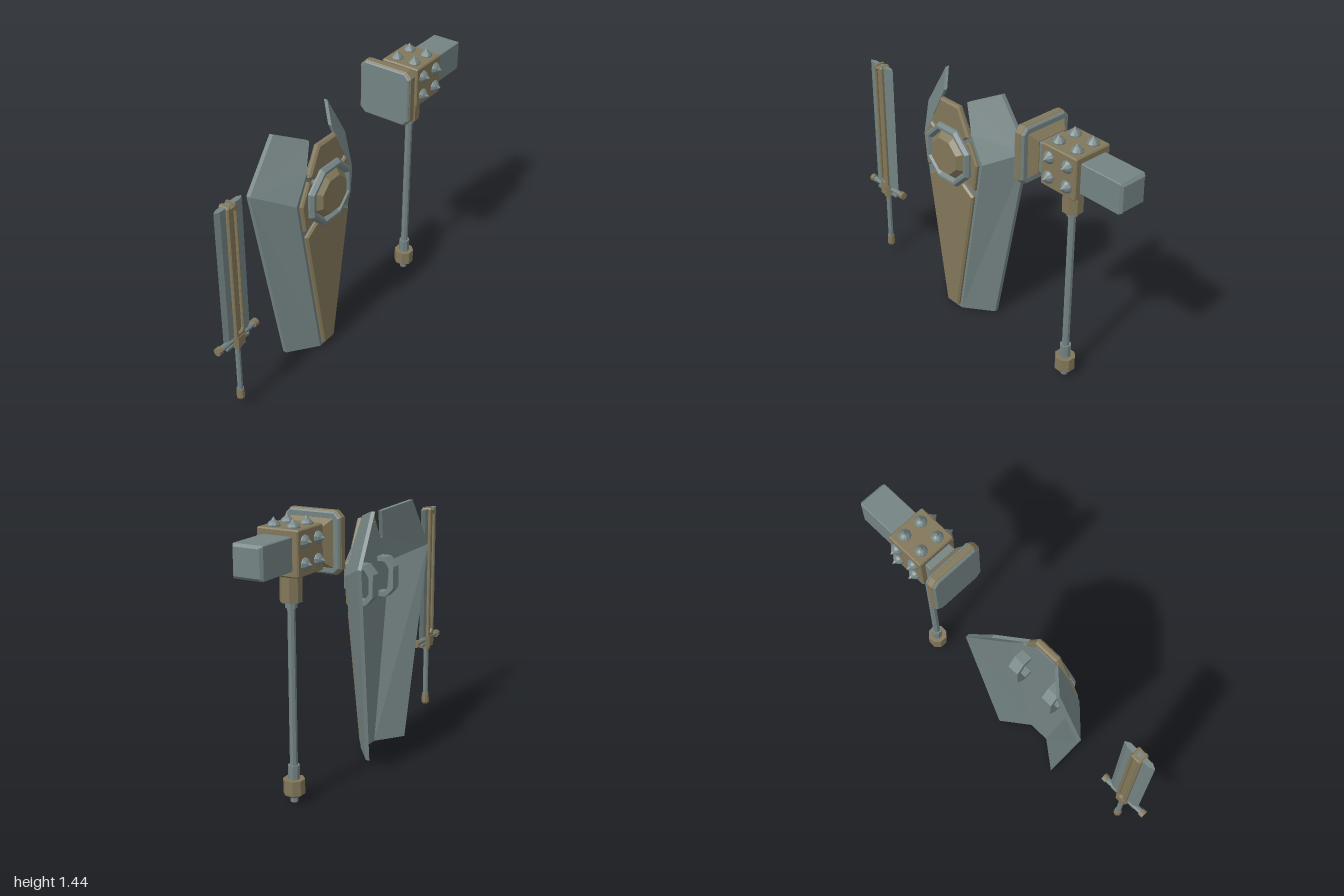
import * as THREE from 'three';

const GREY = 0x748383, BROWN = 0x82775a;
const material = (color) => new THREE.MeshStandardMaterial({ color, flatShading: true });
const steel = material(GREY), bronze = material(BROWN);

function add(group, name, geometry, mat, x = 0, y = 0, z = 0) {
  const mesh = new THREE.Mesh(geometry, mat);
  mesh.name = name;
  mesh.position.set(x, y, z);
  group.add(mesh);
  return mesh;
}

// Outline extruded along z from z0 to z1, with its edges chamfered inside the outline
function slab(points, z0, z1, bevel = 0, hole = null) {
  const shape = new THREE.Shape(points.map(([x, y]) => new THREE.Vector2(x, y)));
  if (hole) shape.holes.push(new THREE.Path(hole.map(([x, y]) => new THREE.Vector2(x, y))));
  const geo = new THREE.ExtrudeGeometry(shape, {
    depth: z1 - z0 - 2 * bevel, bevelEnabled: bevel > 0, bevelSize: bevel,
    bevelThickness: bevel, bevelOffset: -bevel, bevelSegments: 1,
  });
  return geo.translate(0, 0, z0 + bevel);
}

// Complete a right-hand outline (listed bottom to top) with its mirror image
const mirrored = (pts) => [...pts, ...pts.map(([x, y]) => [-x, y]).reverse()];

// Square block with cut corners running along x
function blockX(half, cut, x0, x1, bevel) {
  const c = half - cut;
  const pts = mirrored([[c, -half], [half, -c], [half, c], [c, half]]);
  return slab(pts, x0, x1, bevel).rotateY(Math.PI / 2);
}

// Eight-sided rod between two heights
const rod = (rTop, rBottom, y0, y1) =>
  new THREE.CylinderGeometry(rTop, rBottom, y1 - y0, 8, 1, false, Math.PI / 8).translate(0, (y0 + y1) / 2, 0);

function createSword() {
  const g = new THREE.Group();
  g.name = 'sword';
  // Blade: thin at both edges, thicker in the middle
  const section = [[-0.097, 0], [-0.07, -0.014], [0.07, -0.014], [0.097, 0], [0.07, 0.014], [-0.07, 0.014]];
  add(g, 'blade', slab(section, 0, 0.76).rotateX(-Math.PI / 2), steel, 0, 0.49, 0);
  // Raised spine with a long slot on both faces
  const spine = mirrored([[0.033, 0.48], [0.033, 1.245], [0.025, 1.255], [0.012, 1.255], [0.012, 1.247]]);
  const slot = mirrored([[0.01, 0.51], [0.018, 0.525], [0.018, 1.215], [0.01, 1.23]]);
  add(g, 'bladeSpine', slab(spine, -0.03, 0.03, 0.005, slot), bronze);
  add(g, 'slotFloor', new THREE.BoxGeometry(0.044, 0.73, 0.034), bronze, 0, 0.87, 0);
  // Guard
  const block = mirrored([[0.025, -0.034], [0.04, -0.015], [0.04, 0.015], [0.025, 0.034]]);
  add(g, 'guardBlock', slab(block, 0, 0.062).rotateX(-Math.PI / 2), bronze, 0, 0.428, 0);
  add(g, 'guardBar', rod(0.016, 0.016, -0.13, 0.13).rotateZ(Math.PI / 2), steel, 0, 0.465, 0);
  add(g, 'lowerGuardBar', new THREE.BoxGeometry(0.165, 0.014, 0.022), steel, 0, 0.437, 0);
  for (const s of [-1, 1]) {
    add(g, 'guardCap', rod(0.022, 0.022, -0.013, 0.013).rotateZ(Math.PI / 2), bronze, s * 0.134, 0.465, 0);
  }
  // Grip and pommel
  add(g, 'gripCollar', rod(0.023, 0.023, 0.405, 0.43), bronze);
  add(g, 'grip', rod(0.015, 0.015, 0.11, 0.41), steel);
  add(g, 'pommel', rod(0.02, 0.023, 0.07, 0.122), bronze);
  add(g, 'pommelTip', rod(0.023, 0.017, 0.058, 0.07), bronze);
  return g;
}

// Folded side of the shield, a fan of facets around the widest corner
function wingGeometry(side) {
  const front = [
    [0.387, 1.1, -0.115], [0.215, 1.37, -0.1], [0.09, 1.32, 0.02], [0.15, 1.165, 0.045],
    [0.23, 1.02, 0.045], [0.06, 0.01, 0.045], [0.211, 0.01, -0.07],
  ];
  const n = front.length, pos = [], index = [];
  for (const dz of [0, -0.022]) for (const [x, y, z] of front) pos.push(x * side, y, z + dz);
  const face = (a, b, c) => index.push(...(side > 0 ? [a, b, c] : [a, c, b]));
  for (let i = 1; i < n - 1; i++) {
    face(0, i, i + 1);
    face(n, n + i + 1, n + i);
  }
  for (let i = 0; i < n; i++) {
    const j = (i + 1) % n;
    face(i, n + i, n + j);
    face(i, n + j, j);
  }
  const geo = new THREE.BufferGeometry();
  geo.setAttribute('position', new THREE.Float32BufferAttribute(pos, 3));
  geo.setIndex(index);
  geo.computeVertexNormals();
  return geo;
}

function createShield() {
  const g = new THREE.Group();
  g.name = 'shield';
  const plate = mirrored([[0.06, 0.01], [0.23, 1.02], [0.15, 1.165], [0.125, 1.165], [0.06, 1.265]]);
  add(g, 'centrePlate', slab(plate, 0.023, 0.045), steel);
  // Bronze panels
  const lower = mirrored([[0.046, 0.03], [0.178, 0.81], [0.1, 0.86]]);
  const upper = mirrored([[0.08, 1.1], [0.145, 1.15], [0.07, 1.3]]);
  add(g, 'lowerPanel', slab(lower, 0.035, 0.065, 0.01), bronze);
  add(g, 'upperPanel', slab(upper, 0.028, 0.065, 0.01), bronze);
  for (const s of [-1, 1]) {
    add(g, 'wing', wingGeometry(s), steel);
    const sidePanel = [[0.11, 0.895], [0.188, 0.855], [0.21, 1.01], [0.152, 1.13], [0.1, 1.1]];
    add(g, 'sidePanel', slab(sidePanel.map(([x, y]) => [x * s, y]), 0.035, 0.065, 0.008), bronze);
    // Bracket handles on the back
    const grip = [
      [0.03, 0.11], [-0.03, 0.11], [-0.075, 0.06], [-0.075, -0.06], [-0.03, -0.11], [0.03, -0.11],
      [0.03, -0.085], [-0.02, -0.085], [-0.05, -0.045], [-0.05, 0.045], [-0.02, 0.085], [0.03, 0.085],
    ];
    add(g, 'handle', slab(grip, -0.032, 0.032).rotateY(-Math.PI / 2), steel, s * 0.117, 0.96, 0);
  }
  // Octagonal boss: steel ring around a bronze centre
  const ring = [[0.17, 0], [0.179, 0.02], [0.179, 0.032], [0.165, 0.05], [0.15, 0.05], [0.134, 0.03], [0.134, 0]]
    .map(([r, y]) => new THREE.Vector2(r, y));
  add(g, 'bossRing', new THREE.LatheGeometry(ring, 8, Math.PI / 8).rotateX(Math.PI / 2), steel, 0, 1, 0.045);
  add(g, 'bossCentre', rod(0.103, 0.137, 0, 0.038).rotateX(Math.PI / 2), bronze, 0, 1, 0.068);
  return g;
}

function createHammer() {
  const g = new THREE.Group();
  g.name = 'hammer';
  // Shaft with its collars
  add(g, 'shaft', rod(0.02, 0.02, 0, 1.1), steel);
  add(g, 'buttCollar', rod(0.055, 0.055, 0.045, 0.122), bronze);
  add(g, 'buttCollarTaper', rod(0.055, 0.035, 0.03, 0.045), bronze);
  add(g, 'lowerSleeve', rod(0.03, 0.03, 0.12, 0.195), steel);
  add(g, 'upperSleeve', rod(0.03, 0.03, 0.995, 1.035), steel);
  add(g, 'neckCollar', rod(0.055, 0.055, 1.025, 1.15), bronze);
  add(g, 'neckFlare', rod(0.068, 0.055, 1.15, 1.175), bronze);

  const head = new THREE.Group();
  head.name = 'head';
  head.position.y = 1.28;
  g.add(head);
  add(head, 'core', blockX(0.112, 0.006, -0.113, 0.113, 0.006), bronze);
  add(head, 'rearBlock', blockX(0.081, 0.004, 0.1, 0.364, 0.014), steel);
  add(head, 'neck', blockX(0.081, 0.004, -0.17, -0.1, 0.001), steel);
  // Striking face, layered steel and bronze
  const taper = new THREE.CylinderGeometry(0.085 * Math.SQRT2, 0.122 * Math.SQRT2, 0.042, 4, 1, false, Math.PI / 4);
  add(head, 'faceTaper', taper.rotateZ(-Math.PI / 2), bronze, -0.174, 0, 0);
  add(head, 'facePlate', blockX(0.152, 0.03, -0.256, -0.192, 0.008), steel);
  add(head, 'faceBand', blockX(0.156, 0.03, -0.246, -0.204, 0.006), bronze);

  // Four studs on each of the front, back and top sides
  for (const [side, angle] of [['front', Math.PI / 2], ['top', 0], ['back', -Math.PI / 2]]) {
    const studs = new THREE.Group();
    studs.name = side + 'Studs';
    studs.rotation.x = angle;
    for (const x of [-0.058, 0.058]) for (const z of [-0.053, 0.053]) {
      const profile = [[0.033, 0], [0.033, 0.008], [0.024, 0.02], [0.011, 0.03], [0, 0.046]]
        .map(([r, y]) => new THREE.Vector2(r, y));
      add(studs, 'stud', new THREE.LatheGeometry(profile, 10), steel, x, 0.11, z);
    }
    head.add(studs);
  }
  return g;
}

export function createModel() {
  const model = new THREE.Group();
  model.name = 'weaponSet';
  const sword = createSword(), shield = createShield(), hammer = createHammer();
  sword.position.set(-0.853, 0, -0.01);
  shield.position.x = -0.198;
  hammer.position.x = 0.628;
  model.add(sword, shield, hammer);
  return model;
}
